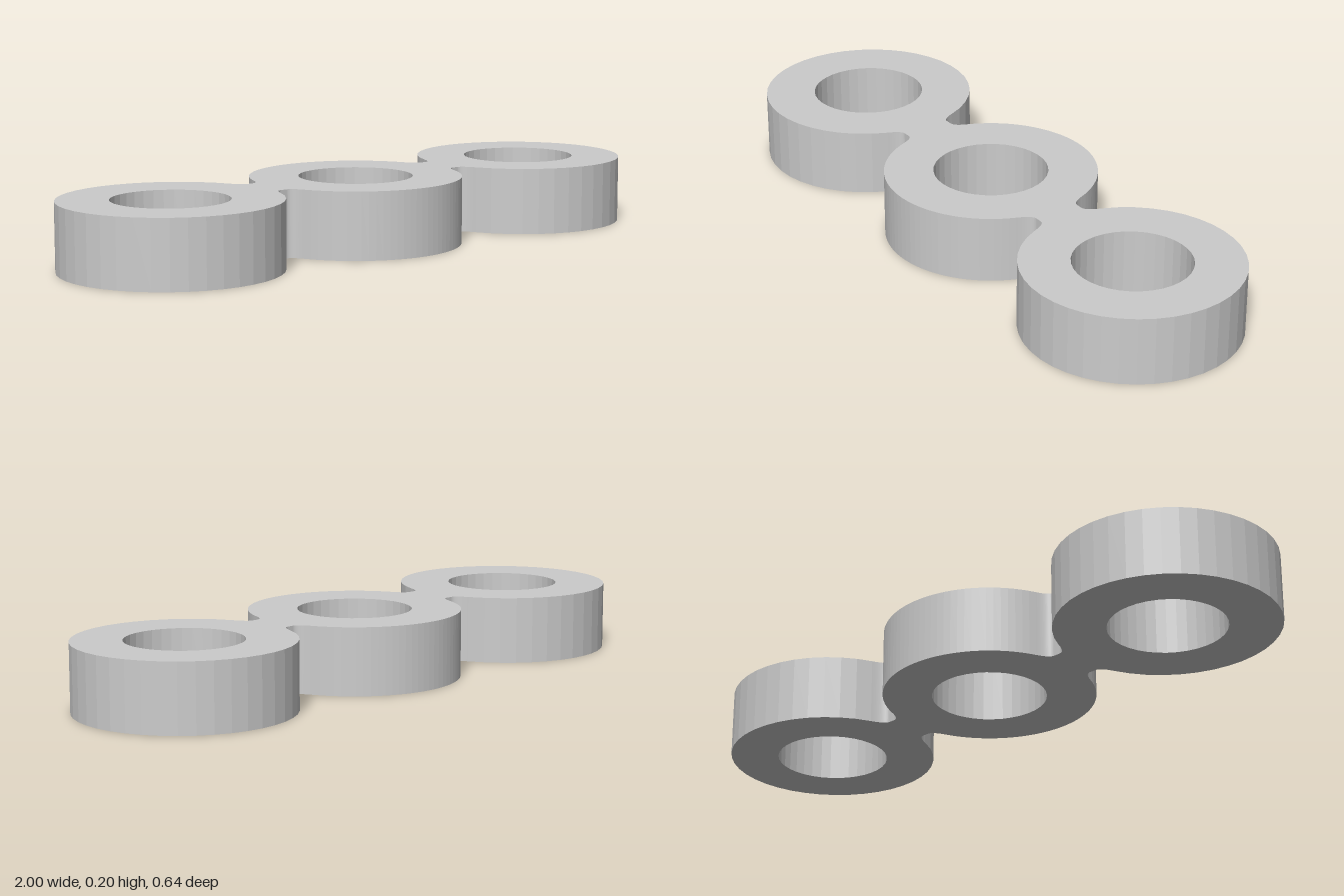
import * as THREE from 'three';

const HEIGHT = 0.2;
const HOLE_RADIUS = 0.17;
const SPREAD = 0.375; // angle at which each ring blends into a neck
const rings = [
  { x: -0.68, r: 0.321 },
  { x: 0.002, r: 0.316 },
  { x: 0.683, r: 0.317 },
];
const necks = [{ half: 0.077 }, { half: 0.072 }];

// Concave fillets from the current ring to the next one; side is +1 or -1 in y
function addNeck(shape, from, to, half, side) {
  const dir = Math.sign(to.x - from.x);
  const c = Math.cos(SPREAD), s = Math.sin(SPREAD);
  const corner = (ring, d) => ring.x + d * (ring.r * c + (ring.r * s - half) * Math.tan(SPREAD));
  const x1 = corner(from, dir), x2 = corner(to, -dir);
  const mid = (x1 + x2) / 2;
  shape.quadraticCurveTo(x1, side * half, mid - dir * 0.01, side * half);
  shape.lineTo(mid + dir * 0.01, side * half);
  shape.quadraticCurveTo(x2, side * half, to.x - dir * to.r * c, side * to.r * s);
}

export function createModel() {
  const [left, middle, right] = rings;
  const a = SPREAD, PI = Math.PI;

  // One continuous outline around the three rings and two necks
  const outline = new THREE.Shape();
  outline.absarc(left.x, 0, left.r, a, 2 * PI - a, false);
  addNeck(outline, left, middle, necks[0].half, -1);
  outline.absarc(middle.x, 0, middle.r, PI + a, 2 * PI - a, false);
  addNeck(outline, middle, right, necks[1].half, -1);
  outline.absarc(right.x, 0, right.r, PI + a, 3 * PI - a, false);
  addNeck(outline, right, middle, necks[1].half, 1);
  outline.absarc(middle.x, 0, middle.r, a, PI - a, false);
  addNeck(outline, middle, left, necks[0].half, 1);

  // Round through holes
  for (const ring of rings) {
    const hole = new THREE.Path();
    hole.absarc(ring.x, 0, HOLE_RADIUS, 0, 2 * PI, true);
    outline.holes.push(hole);
  }

  const geometry = new THREE.ExtrudeGeometry(outline, {
    depth: HEIGHT,
    bevelEnabled: false,
    curveSegments: 18,
  });
  geometry.rotateX(-PI / 2);

  const link = new THREE.Mesh(geometry, new THREE.MeshStandardMaterial({ color: 0xcccccc, flatShading: true }));
  link.name = 'tripleRingLink';

  const group = new THREE.Group();
  group.name = 'ringConnector';
  group.add(link);
  return group;
}
